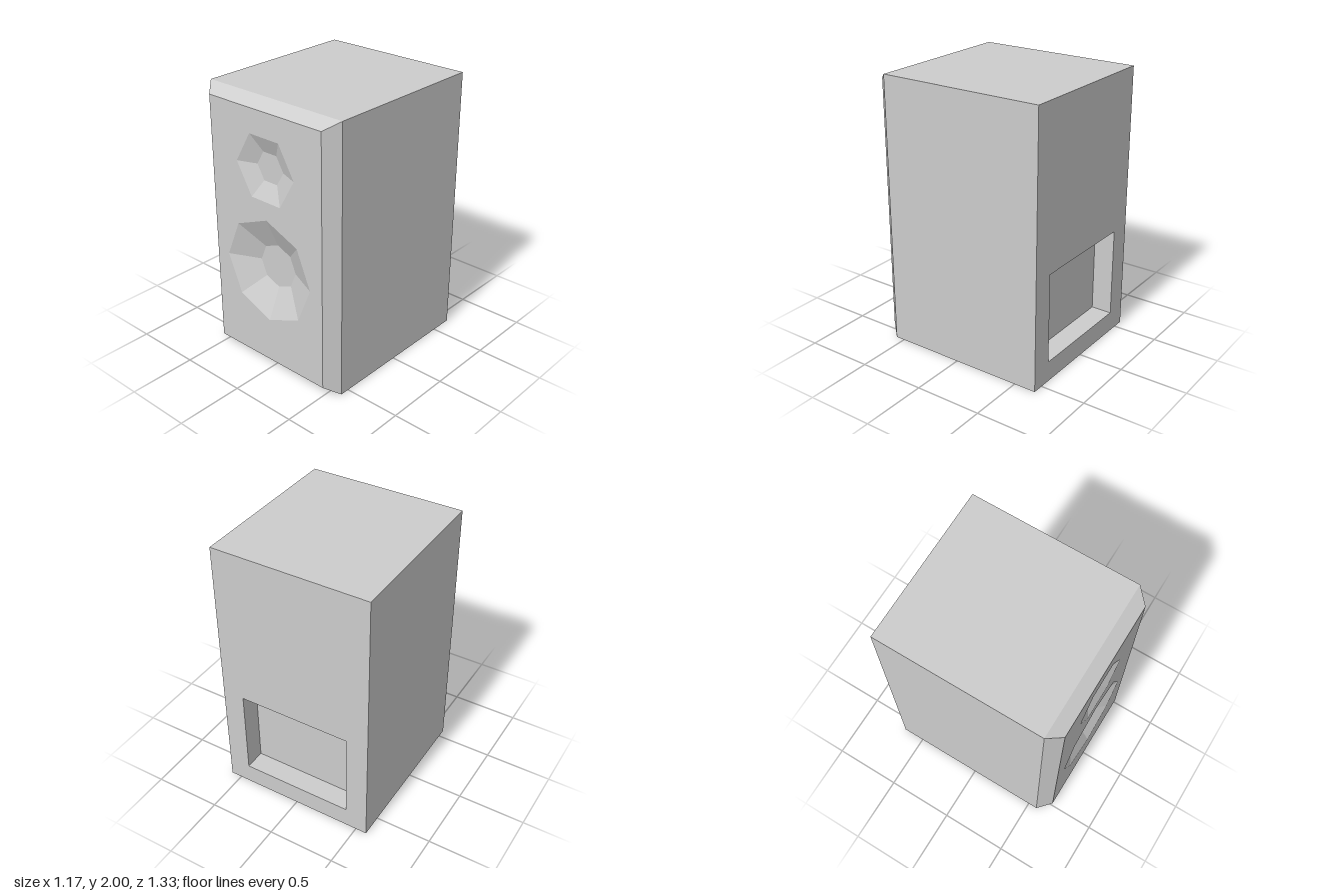
import * as THREE from 'three';

const FRONT = 0.665, SHOULDER = 0.57, BACK = -0.665;

// Closed loops of 2D points, counter-clockwise seen from +z
const rect = (w, y0, y1) => [[-w, y0], [w, y0], [w, y1], [-w, y1]].map(p => new THREE.Vector2(...p));
const polygon = (n, r, cy) => Array.from({ length: n }, (_, i) => {
  const a = (i / n) * Math.PI * 2;
  return new THREE.Vector2(Math.cos(a) * r, cy + Math.sin(a) * r);
});

// Flat-faced wall joining loop a at za to loop b at zb
function wall(a, za, b, zb) {
  const pos = [];
  a.forEach((p, i) => {
    const j = (i + 1) % a.length;
    const [A, B, C, D] = [[p.x, p.y, za], [a[j].x, a[j].y, za], [b[j].x, b[j].y, zb], [b[i].x, b[i].y, zb]];
    pos.push(...A, ...B, ...C, ...A, ...C, ...D);
  });
  const g = new THREE.BufferGeometry();
  g.setAttribute('position', new THREE.Float32BufferAttribute(pos, 3));
  g.computeVertexNormals();
  return g;
}

// Flat panel with optional holes, facing +z or (when turned) -z
function panel(loop, z, holes = [], turned = false) {
  const shape = new THREE.Shape(loop);
  holes.forEach(h => shape.holes.push(new THREE.Path(h)));
  const g = new THREE.ShapeGeometry(shape);
  if (turned) g.rotateY(Math.PI);
  return g.translate(0, 0, z);
}

export function createModel() {
  const model = new THREE.Group();
  model.name = 'loudspeaker';
  const grey = new THREE.MeshStandardMaterial({ color: 0xcccccc });
  grey.name = 'light grey';
  const add = (name, geometry, parent = model) => {
    const mesh = new THREE.Mesh(geometry, grey);
    mesh.name = name;
    parent.add(mesh);
  };

  const outer = rect(0.583, 0, 2);
  const face = rect(0.497, 0.065, 1.94);
  const socket = rect(0.42, 0.152, 0.815);
  const drivers = [
    { name: 'tweeter', sides: 6, y: 1.537, r: 0.26, inner: 0.118, depth: 0.052 },
    { name: 'woofer', sides: 8, y: 0.788, r: 0.389, inner: 0.163, depth: 0.1 },
  ];

  // Cabinet
  add('cabinetSides', wall(outer, BACK, outer, SHOULDER));
  add('frontBevel', wall(outer, SHOULDER, face, FRONT));
  add('frontBaffle', panel(face, FRONT, drivers.map(d => polygon(d.sides, d.r, d.y))));
  add('backPanel', panel(outer, BACK, [socket], true));

  // Connector recess in the back
  const recess = new THREE.Group();
  recess.name = 'backRecess';
  model.add(recess);
  const floorZ = BACK + 0.156;
  add('recessWalls', wall(socket, floorZ, socket, BACK), recess);
  add('recessFloor', panel(socket, floorZ, [], true), recess);

  // Sunken driver cones
  for (const d of drivers) {
    const driver = new THREE.Group();
    driver.name = d.name;
    model.add(driver);
    const rim = polygon(d.sides, d.r, d.y), cap = polygon(d.sides, d.inner, d.y);
    add(d.name + 'Cone', wall(rim, FRONT, cap, FRONT - d.depth), driver);
    add(d.name + 'Cap', panel(cap, FRONT - d.depth), driver);
  }
  return model;
}
